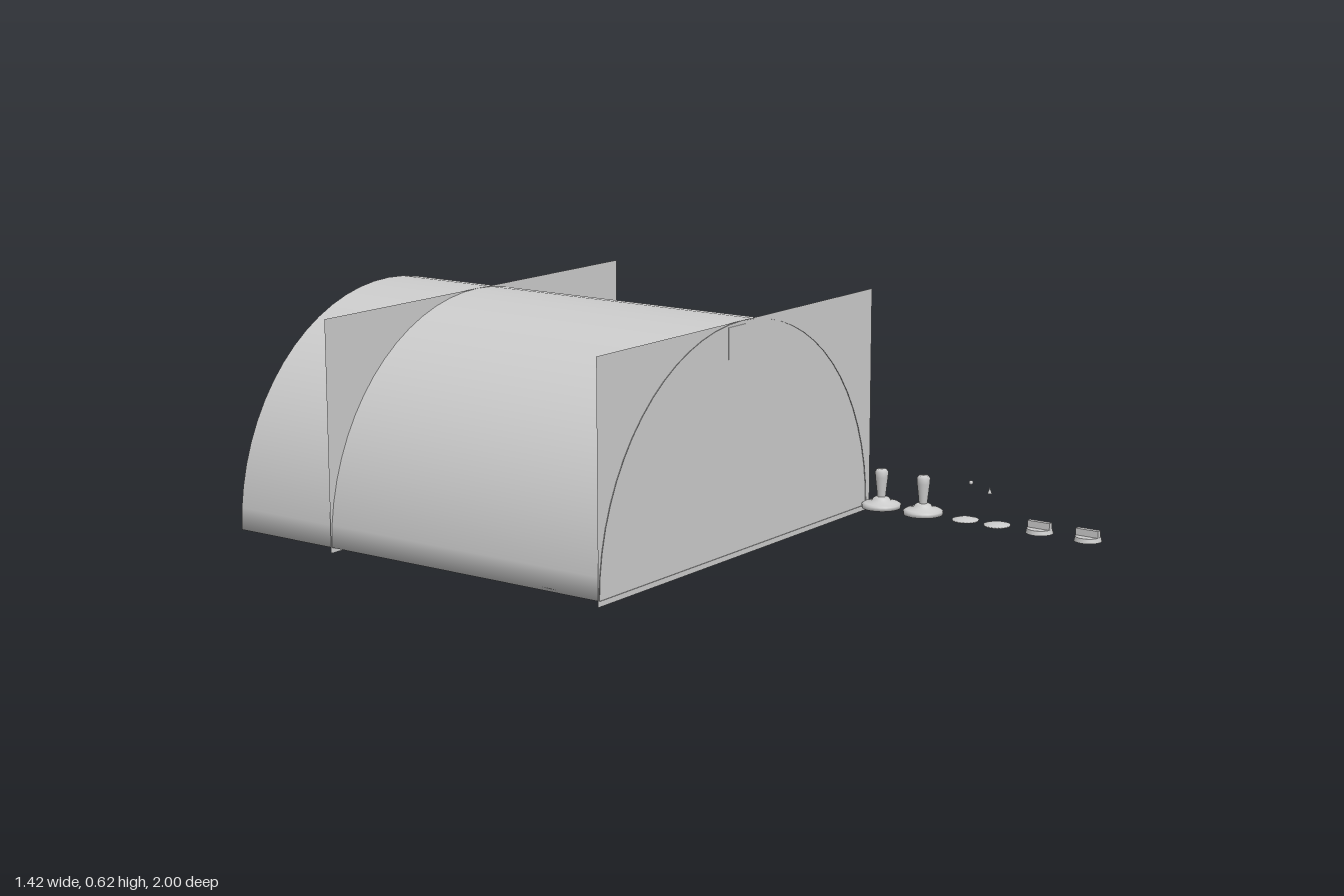
import * as THREE from 'three';
import { mergeGeometries, mergeVertices } from 'three/addons/utils/BufferGeometryUtils.js';

const grey = new THREE.MeshStandardMaterial({ color: 0xcccccc, side: THREE.DoubleSide });

export function createModel() {
  const model = new THREE.Group();

  const add = (name, geometry, x, y, z) => {
    const mesh = new THREE.Mesh(geometry, grey);
    mesh.name = name;
    mesh.position.set(x, y, z);
    model.add(mesh);
    return mesh;
  };
  // box given by its limits on each axis
  const box = (name, x0, x1, y0, y1, z0, z1) =>
    add(name, new THREE.BoxGeometry(x1 - x0, y1 - y0, z1 - z0), (x0 + x1) / 2, (y0 + y1) / 2, (z0 + z1) / 2);
  const lathe = (name, points, x, y, z, sides = 24) =>
    add(name, new THREE.LatheGeometry(points.map(p => new THREE.Vector2(...p)), sides), x, y, z);

  // barrel vault and floor, smoothed together along their shared edge
  const radius = 0.6, length = 1.2, centreX = -0.11, centreZ = -0.395;
  const vault = new THREE.CylinderGeometry(radius, radius, length, 32, 1, true, Math.PI / 2, Math.PI);
  const floor = new THREE.PlaneGeometry(2 * radius, length);
  for (const part of [vault, floor]) {
    part.rotateX(Math.PI / 2);
    part.deleteAttribute('normal');
    part.deleteAttribute('uv');
  }
  const shell = mergeVertices(mergeGeometries([vault, floor]), 0.0005);
  shell.computeVertexNormals();
  add('vaultShell', shell, centreX, 0.015, centreZ);

  // flat walls, front and inner
  for (const [name, z] of [['frontWall', 0.203], ['innerWall', -0.67]]) {
    add(name, new THREE.PlaneGeometry(1.223, 0.615), -0.1015, 0.3075, z);
  }

  // ridge beam under the crown
  box('ridgeBeam', -0.17, -0.09, 0.523, 0.605, -1, 0.205);

  // door with thin frame in the inner wall
  box('door', 0.105, 0.275, 0.015, 0.265, -0.674, -0.666);
  for (const x of [0.1, 0.275]) box('doorJamb', x, x + 0.006, 0.015, 0.27, -0.68, -0.66);
  box('doorHead', 0.1, 0.281, 0.265, 0.271, -0.68, -0.66);

  // pendant lamps, cords just through the vault
  for (const z of [-0.01, -0.385, -0.715]) {
    add('lampCord', new THREE.CylinderGeometry(0.003, 0.003, 0.185, 8), 0.125, 0.477, z);
    lathe('lampShade', [[0.05, 0], [0.042, 0.014], [0.022, 0.026], [0.01, 0.04], [0, 0.042]], 0.125, 0.365, z);
  }

  // side box and small vent stub
  box('sideBox', 0.66, 0.708, 0.125, 0.2, -0.06, 0.042);
  box('ventStub', 0.415, 0.44, 0.262, 0.284, 0.133, 0.158);

  // levers on round bases
  for (const z of [0.34, 0.47]) {
    lathe('leverBase', [[0.044, 0.008], [0.044, 0], [0.053, 0], [0.053, 0.01], [0.046, 0.014],
      [0.026, 0.018], [0.022, 0.026], [0.014, 0.03], [0, 0.03]], 0.352, 0.055, z);
    lathe('leverGrip', [[0.011, 0], [0.013, 0.02], [0.017, 0.055], [0.018, 0.07], [0.013, 0.077], [0, 0.077]],
      0.352, 0.083, z);
  }

  // shallow buttons with loose pins floating above
  for (const z of [0.6, 0.695]) {
    lathe('button', [[0, 0], [0.035, 0], [0.035, 0.004], [0.016, 0.009], [0, 0.009]], 0.352, 0.056, z);
  }
  add('pin', new THREE.SphereGeometry(0.006, 10, 8), 0.325, 0.168, 0.63);
  add('pin', new THREE.ConeGeometry(0.006, 0.018, 10), 0.318, 0.157, 0.69);

  // turning knobs with raised grip
  for (const z of [0.82, 0.96]) {
    add('knobBase', new THREE.CylinderGeometry(0.033, 0.036, 0.012, 24), 0.352, 0.062, z);
    box('knobGrip', 0.345, 0.359, 0.066, 0.086, z - 0.032, z + 0.032);
  }

  return model;
}
